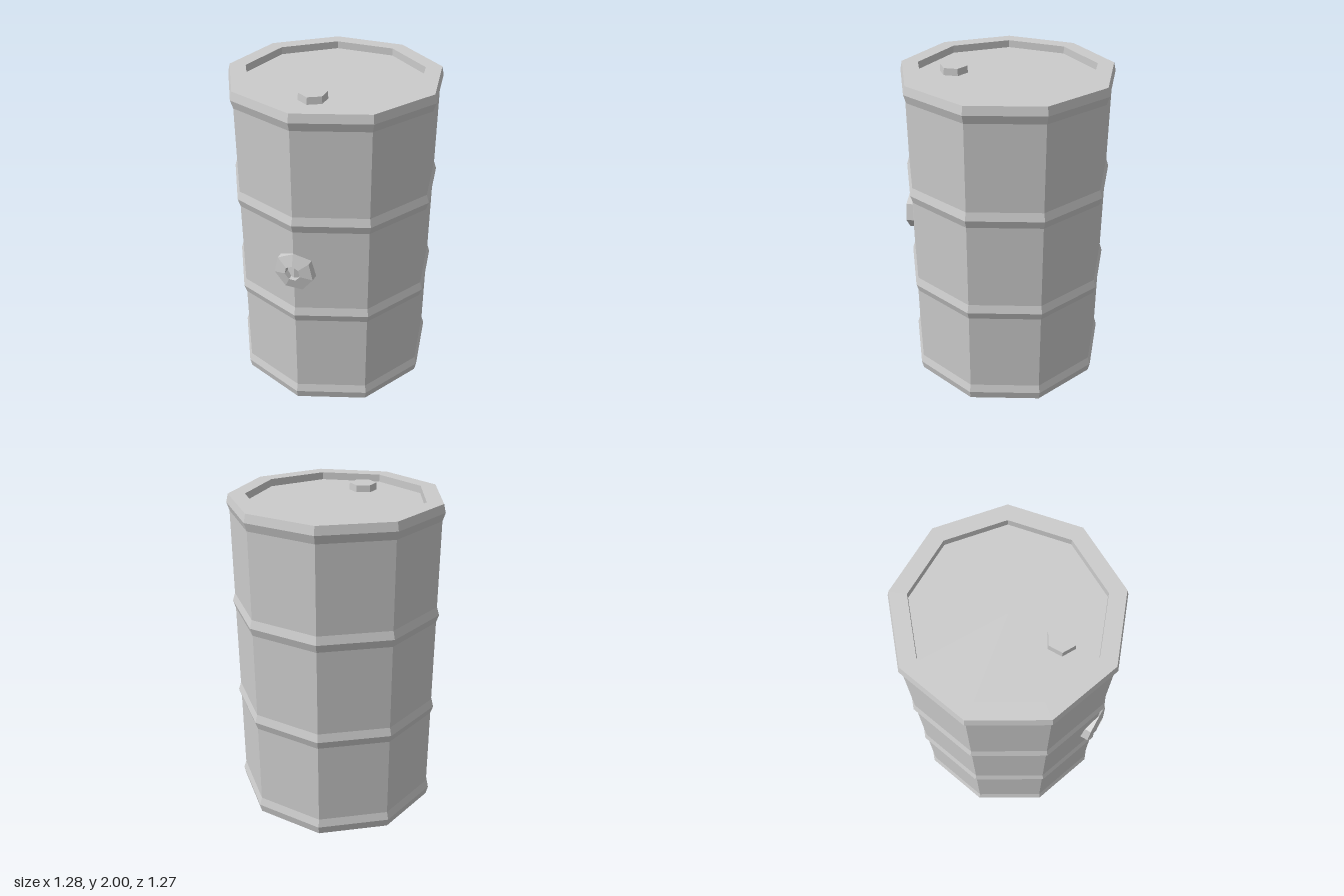
import * as THREE from 'three';

const material = new THREE.MeshStandardMaterial({ color: 0xcccccc, flatShading: true });

function addPart(group, name, geometry, x = 0, y = 0, z = 0) {
  const mesh = new THREE.Mesh(geometry, material);
  mesh.name = name;
  mesh.position.set(x, y, z);
  group.add(mesh);
  return mesh;
}

// Faceted turned shape from [radius, height] pairs, listed from bottom to top
function turned(profile, sides, start = 0) {
  return new THREE.LatheGeometry(profile.map(([r, y]) => new THREE.Vector2(r, y)), sides, start);
}

export function createModel() {
  const group = new THREE.Group();
  group.name = 'barrel';

  const wall = 0.636, ring = 0.652, rim = 0.64, lid = 0.54;
  const centreZ = -0.023;

  // Nine-sided drum: recessed base, four raised hoops, recessed lid
  const profile = [[0, 0.045], [lid, 0.045], [lid, 0], [rim, 0]];
  for (const y of [0.055, 0.685, 1.322, 1.95]) {
    if (y > 0.1) profile.push([wall, y - 0.05]);
    profile.push([ring, y]);
    if (y < 1.9) profile.push([wall, y + 0.05]);
  }
  profile.push([rim, 2], [lid, 2], [lid, 1.955], [0, 1.955]);
  addPart(group, 'drum', turned(profile, 9), 0, 0, centreZ);

  // Hexagonal filler cap on the lid
  addPart(group, 'fillerCap', new THREE.CylinderGeometry(0.082, 0.086, 0.05, 6), 0, 1.972, 0.298);

  // Seven-sided bung on the front corner, with a hole through its sloped face
  const bung = turned([[0.125, -0.06], [0.125, 0.619], [0.049, 0.638], [0.049, 0.56]]
    .map(([r, z]) => [r, Math.max(z, 0.56)]), 7, Math.PI);
  bung.rotateX(Math.PI / 2);
  addPart(group, 'bung', bung, 0, 1.002, 0);

  return group;
}
